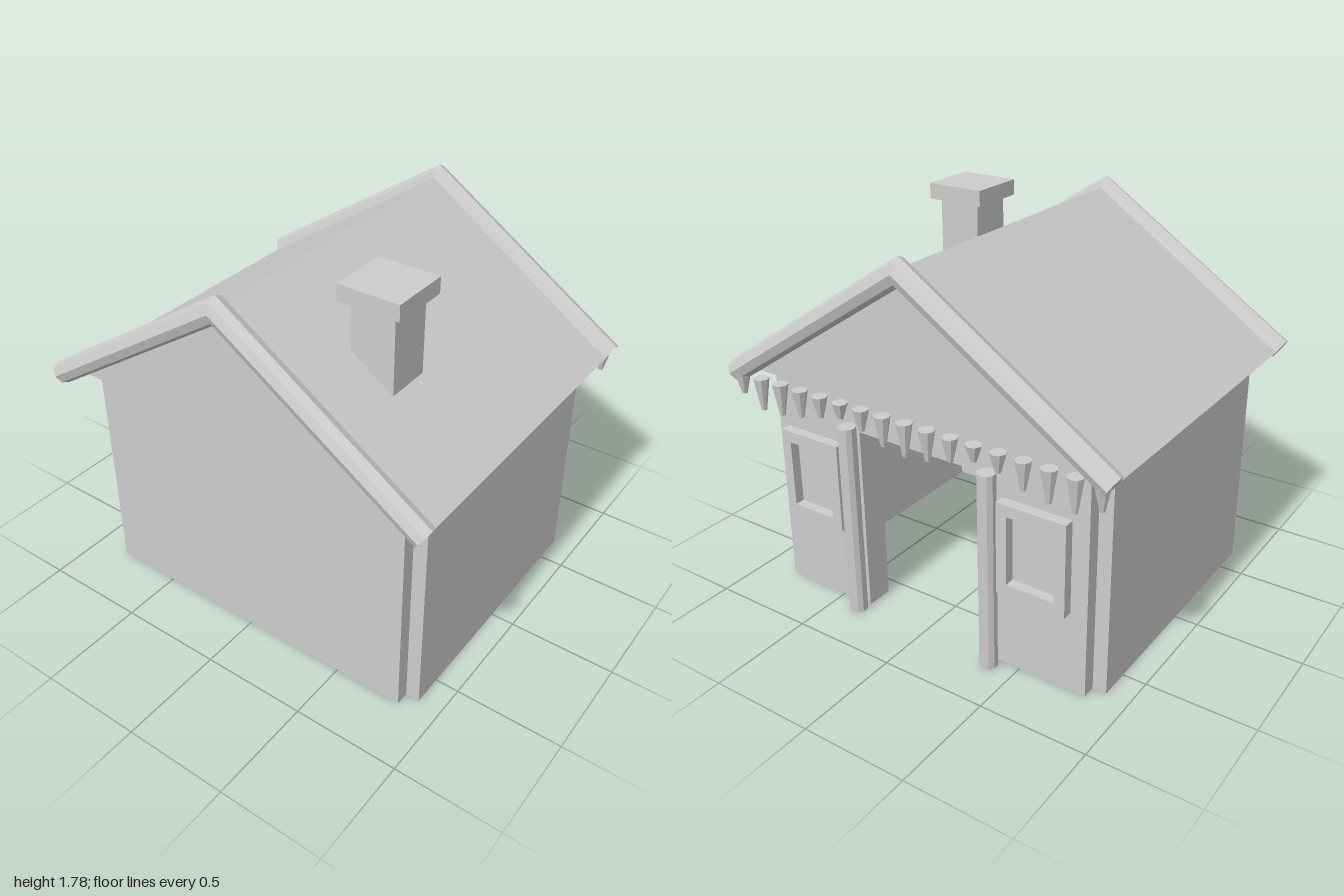
import * as THREE from 'three';

export function createModel() {
  const model = new THREE.Group();
  model.name = 'snowyCottage';
  const grey = new THREE.MeshStandardMaterial({ color: 0xcccccc });
  grey.name = 'plain grey';
  grey.flatShading = true;

  const add = (name, geometry, x = 0, y = 0, z = 0) => {
    const mesh = new THREE.Mesh(geometry, grey);
    mesh.name = name;
    mesh.position.set(x, y, z);
    model.add(mesh);
    return mesh;
  };
  // Box given by its lower and upper limits on each axis
  const block = (name, x0, x1, y0, y1, z0, z1) =>
    add(name, new THREE.BoxGeometry(x1 - x0, y1 - y0, z1 - z0),
      (x0 + x1) / 2, (y0 + y1) / 2, (z0 + z1) / 2);
  const outline = (points) => new THREE.Shape(points.map(([x, y]) => new THREE.Vector2(x, y)));
  const extrude = (shape, depth) =>
    new THREE.ExtrudeGeometry(shape, { depth, bevelEnabled: false });

  // Walls, with notched corners and no floor
  const eaves = 1.08, doorHalf = 0.34, doorTop = 0.9;
  block('leftWall', 0.76, 0.89, 0, eaves, -0.645, 0.645);
  block('rightWall', -0.89, -0.76, 0, eaves, -0.645, 0.645);
  block('frontWall', -0.825, 0.825, 0, eaves, 0.58, 0.71);
  add('doorWall', extrude(outline([
    [-0.825, 0], [-doorHalf, 0], [-doorHalf, doorTop], [doorHalf, doorTop],
    [doorHalf, 0], [0.825, 0], [0.825, eaves], [-0.825, eaves],
  ]), 0.13), 0, 0, -0.71);

  // Solid gabled roof
  add('roof', extrude(outline([[-0.97, eaves], [0.97, eaves], [0, 1.73]]), 1.5), 0, 0, -0.75);

  // Logs along the gable edges, mitred at the ridge
  const ridge = new THREE.Vector3(0, 1.717, 0);
  for (const z of [0.8, -0.8]) {
    for (const side of [1, -1]) {
      const end = new THREE.Vector3(0.968 * side, 1.08, 0);
      const axis = ridge.clone().sub(end);
      const length = axis.length();
      axis.normalize();
      const geometry = new THREE.CylinderGeometry(0.053, 0.053, length, 8);
      geometry.translate(0, length / 2, 0);
      geometry.rotateZ(Math.atan2(-axis.x, axis.y));
      geometry.translate(end.x, end.y, 0);
      const p = geometry.attributes.position;
      for (let i = 0; i < p.count; i++) {
        if (Math.abs(p.getX(i)) > 0.5) continue;
        const slide = -p.getX(i) / axis.x; // slide along the log to the middle plane
        p.setXY(i, 0, p.getY(i) + axis.y * slide);
      }
      geometry.computeVertexNormals();
      add('gableLog', geometry, 0, 0, z);
    }
  }

  // Chimney
  block('chimney', 0.36, 0.57, 1.2, 1.72, 0.215, 0.43);
  block('chimneyCap', 0.32, 0.61, 1.71, 1.785, 0.18, 0.465);

  for (const side of [1, -1]) {
    // Door posts
    add('doorPost', new THREE.CylinderGeometry(0.042, 0.042, 0.94, 10), 0.37 * side, 0.47, -0.757);

    // Window frames and panes
    const frame = outline([[-0.165, -0.215], [0.165, -0.215], [0.165, 0.215], [-0.165, 0.215]]);
    frame.holes.push(outline([[-0.115, -0.16], [-0.115, 0.16], [0.115, 0.16], [0.115, -0.16]]));
    add('windowFrame', extrude(frame, 0.048), 0.59 * side, 0.615, -0.774);
    add('windowPane', new THREE.BoxGeometry(0.23, 0.32, 0.022), 0.59 * side, 0.61, -0.716);
  }

  // Row of blunt icicles of varying length below the door gable
  const lengths = [0.1, 0.155, 0.15, 0.13, 0.1, 0.075, 0.1, 0.14, 0.155,
    0.14, 0.11, 0.075, 0.09, 0.13, 0.15, 0.155, 0.11];
  lengths.forEach((length, i) => {
    add('icicle', new THREE.CylinderGeometry(0.036, 0.012, length, 8),
      0.93 - i * 1.86 / 16, eaves - length / 2, -0.81);
  });

  return model;
}
